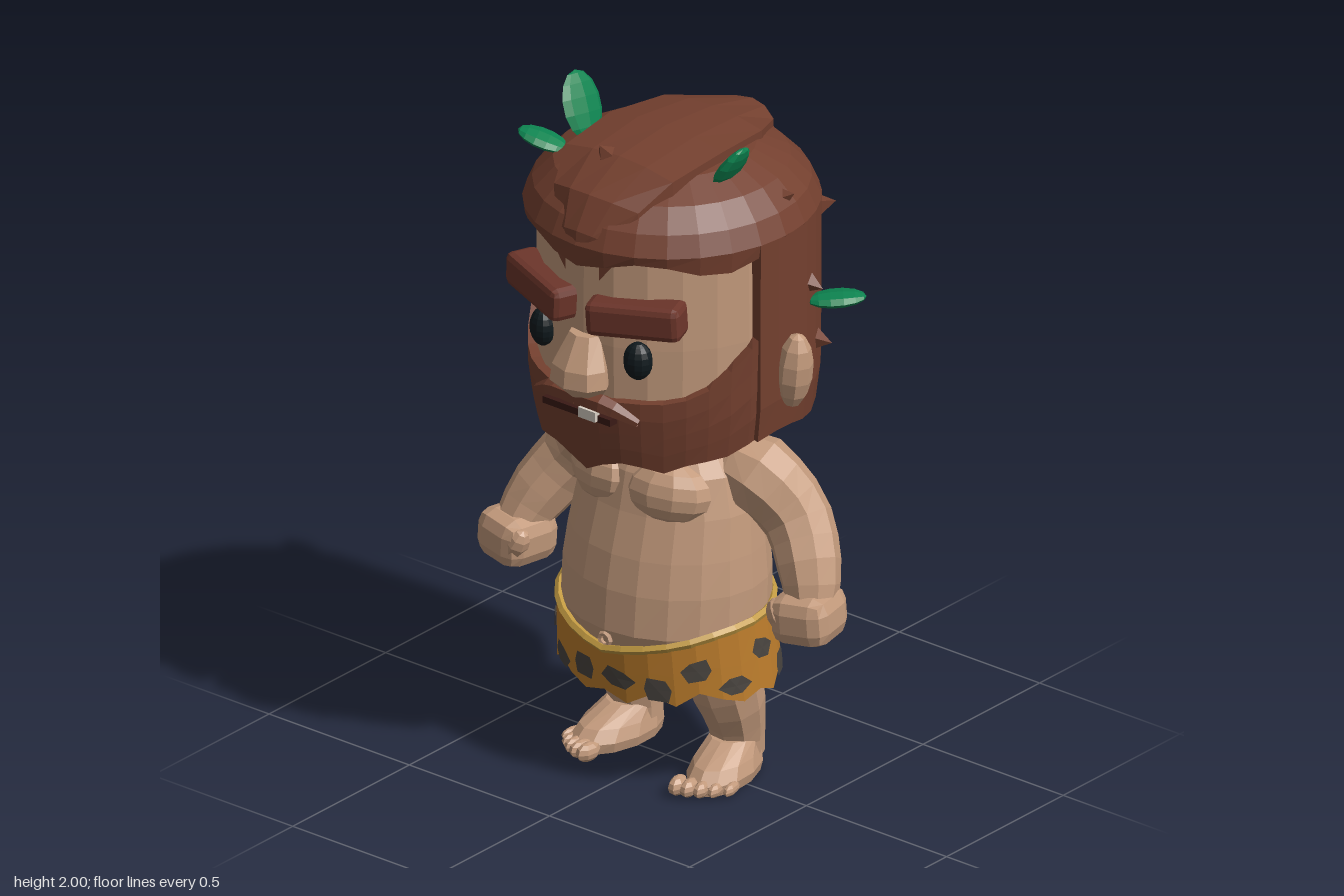
import * as THREE from 'three';
import { RoundedBoxGeometry } from 'three/addons/geometries/RoundedBoxGeometry.js';

const mat = (color) => new THREE.MeshStandardMaterial({ color, flatShading: true, side: THREE.DoubleSide });
const SKIN = mat(0xc39a7c), HAIR = mat(0x74402f), BROW = mat(0x6c352a), HIDE = mat(0xbd7d2c), RIM = mat(0xc29a42);
const SPOT = mat(0x4a4540), LEAF = mat(0x0d8450), EYE = mat(0x10191d), TOOTH = mat(0xd8d0c4), MOUTH = mat(0x3a1a15);

function add(parent, name, geo, material, pos = [0, 0, 0], rot = [0, 0, 0], scale = [1, 1, 1]) {
  const m = new THREE.Mesh(geo, material);
  m.name = name;
  m.position.set(...pos);
  m.rotation.set(...rot);
  m.scale.set(...scale);
  parent.add(m);
  return m;
}

// Piecewise linear lookup in [[x, y], ...]
function lookup(t, table) {
  for (let i = 1; i < table.length; i++) {
    const [x0, y0] = table[i - 1], [x1, y1] = table[i];
    if (t <= x1) return y0 + (y1 - y0) * Math.max(0, (t - x0) / (x1 - x0));
  }
  return table[table.length - 1][1];
}

// Surface through points f(i, j); i runs counter-clockwise from the front, j upward
function grid(nu, nv, f) {
  const pos = [], idx = [], w = nu + 1;
  for (let j = 0; j <= nv; j++) for (let i = 0; i <= nu; i++) pos.push(...f(i, j));
  for (let j = 0; j < nv; j++) for (let i = 0; i < nu; i++) {
    const a = j * w + i;
    idx.push(a, a + 1, a + w + 1, a, a + w + 1, a + w);
  }
  const g = new THREE.BufferGeometry();
  g.setAttribute('position', new THREE.Float32BufferAttribute(pos, 3));
  g.setIndex(idx);
  g.computeVertexNormals();
  return g;
}

// Closed body from rings [y, halfWidth, zFront, zBack]
function loft(rings, n) {
  const end = (r) => [r[0], 0, (r[2] + r[3]) / 2, (r[2] + r[3]) / 2];
  const all = [end(rings[0]), ...rings, end(rings[rings.length - 1])];
  return grid(n, all.length - 1, (i, j) => {
    const a = i / n * Math.PI * 2, [y, rx, zf, zb] = all[j];
    return [rx * Math.sin(a), y, (zf + zb) / 2 + (zf - zb) / 2 * Math.cos(a)];
  });
}

// Tube with a varying radius through the points
function limb(points, radii, segs = 9, sides = 9) {
  const curve = new THREE.CatmullRomCurve3(points.map((p) => new THREE.Vector3(...p)));
  const g = new THREE.TubeGeometry(curve, segs, 1, sides), p = g.attributes.position, v = new THREE.Vector3();
  const table = radii.map((r, i) => [i / (radii.length - 1), r]);
  for (let k = 0; k < p.count; k++) {
    const u = Math.floor(k / (sides + 1)) / segs, c = curve.getPointAt(u);
    v.fromBufferAttribute(p, k).sub(c).multiplyScalar(lookup(curve.getUtoTmapping(u), table)).add(c);
    p.setXYZ(k, v.x, v.y, v.z);
  }
  g.computeVertexNormals();
  return g;
}

// Point on the head outline at angle a (0 = front)
const headPoint = (a, y, r) => [0.405 * r * Math.sin(a), y, -0.025 + 0.415 * r * Math.cos(a)];
const headRing = ([y, r]) => [y, 0.405 * r, -0.025 + 0.415 * r, -0.025 - 0.415 * r];

// Thick curved sheet around the head between two angles
function headSheet(a0, a1, n, rows, bottom, top, radius, inner) {
  return grid(n + 2, rows + 2, (i, j) => {
    const a = a0 + (a1 - a0) * THREE.MathUtils.clamp((i - 1) / n, 0, 1);
    const t = THREE.MathUtils.clamp((j - 1) / rows, 0, 1), y = bottom(a) + (top(a) - bottom(a)) * t;
    const edge = i === 0 || i === n + 2 || j === 0 || j === rows + 2;
    return headPoint(a, y, edge ? inner : radius(y));
  });
}

function buildHead(root) {
  const head = new THREE.Group();
  head.name = 'head';
  root.add(head);
  add(head, 'skull', loft([[1.04, 0.5], [1.1, 0.84], [1.2, 0.9], [1.4, 0.915], [1.66, 0.91], [1.75, 0.8]].map(headRing), 24), SKIN);

  // Hair: crown, back curtain and raised middle band
  const crown = [[1.67, 0.87], [1.655, 0.985], [1.7, 1.005], [1.76, 0.94], [1.82, 0.8], [1.865, 0.57], [1.885, 0.28], [1.89, 0]];
  add(head, 'hairCrown', grid(28, crown.length - 1, (i, j) => {
    const a = i / 28 * Math.PI * 2, fringe = j < 2 ? -0.02 * Math.cos(a * 6) : 0;
    return headPoint(a, crown[j][0] + fringe, crown[j][1]);
  }), HAIR);
  add(head, 'hairBack', headSheet(1.34, Math.PI * 2 - 1.34, 22, 6, (a) => 1.1 + 0.012 * Math.cos(a * 8), () => 1.7,
    (y) => lookup(y, [[1.1, 0.97], [1.18, 1], [1.7, 1.005]]), 0.85), HAIR);
  const band = [[0.39, 1.69, 0.06], [0.385, 1.74, 0.1], [0.33, 1.83, 0.15], [0.2, 1.9, 0.19], [0, 1.92, 0.2], [-0.2, 1.905, 0.175], [-0.37, 1.865, 0.1], [-0.375, 1.76, 0.1]];
  add(head, 'hairBand', grid(6, band.length - 1, (i, j) => {
    const [z, y, w] = band[j], s = [-1, -1, -0.5, 0, 0.5, 1, 1][i], skirt = i === 0 || i === 6;
    return [s * w, y - 0.022 * s * s - (skirt ? 0.07 : 0), z - (j < 3 ? 0.03 * s * s : 0) + (j > 5 ? 0.03 * s * s : 0)];
  }), HAIR);

  // Stray tufts: [angle, height, radius factor, upward tilt]
  for (const [a, y, r, up] of [[-2, 1.53, 0.98, 0], [-2.3, 1.36, 0.98, -0.2], [2.3, 1.66, 0.98, 0.2], [2.05, 1.3, 0.98, -0.2],
    [-1.75, 1.78, 0.84, 0.5], [1.75, 1.77, 0.84, 0.5], [1.9, 1.5, 0.97, -0.3], [-1.75, 1.42, 0.97, -0.3], [-0.2, 1.885, 0.55, 1.5]]) {
    const tuft = add(head, 'hairTuft', new THREE.ConeGeometry(0.065, 0.1, 4), HAIR, headPoint(a, y, r));
    tuft.quaternion.setFromUnitVectors(new THREE.Vector3(0, 1, 0), new THREE.Vector3(Math.sin(a), up, Math.cos(a)).normalize());
  }

  // Beard, moustache and mouth
  const beardTop = [[0, 1.23], [0.33, 1.245], [0.74, 1.25], [1, 1.29], [1.25, 1.37], [1.45, 1.45]];
  const beardLow = [[0, 1], [0.24, 1.045], [0.4, 1.05], [0.64, 1.025], [0.85, 1.055], [1.1, 1.06], [1.45, 1.11]];
  add(head, 'beard', headSheet(-1.45, 1.45, 18, 4, (a) => lookup(Math.abs(a), beardLow), (a) => lookup(Math.abs(a), beardTop),
    (y) => lookup(y, [[1, 0.88], [1.1, 0.93], [1.2, 0.965], [1.3, 0.97], [1.45, 0.99]]), 0.8), HAIR);
  add(head, 'mouth', new THREE.BoxGeometry(0.24, 0.02, 0.03), MOUTH, [0, 1.19, 0.37]);
  add(head, 'tooth', new THREE.BoxGeometry(0.06, 0.03, 0.02), TOOTH, [0.045, 1.198, 0.386]);

  // Face
  add(head, 'nose', loft([[1.24, 0.06, 0.4, 0.3], [1.28, 0.095, 0.44, 0.3], [1.33, 0.088, 0.435, 0.3], [1.42, 0.05, 0.385, 0.3]], 8), SKIN);
  for (const s of [1, -1]) {
    add(head, 'moustache', limb([[0, 1.232, 0.375], [s * 0.09, 1.228, 0.365], [s * 0.18, 1.19, 0.335]], [0.025, 0.03, 0.012], 5, 6), HAIR);
    add(head, 'eye', new THREE.SphereGeometry(1, 12, 10), EYE, [s * 0.17, 1.375, 0.325], [0, s * 0.4, 0], [0.042, 0.056, 0.035]);
    add(head, 'eyebrow', new RoundedBoxGeometry(0.275, 0.1, 0.1, 1, 0.02), BROW, [s * 0.165, 1.505, 0.325], [0, s * 0.36, s * 0.06]);
    add(head, 'ear', new THREE.SphereGeometry(1, 8, 7), SKIN, [s * 0.425, 1.29, -0.04], [0, 0, -s * 0.1], [0.052, 0.115, 0.052]);
  }

  // Leaves: base, tip, half width, direction of width
  for (const [base, tip, w, side] of [
    [[-0.23, 1.82, 0.05], [-0.31, 2, 0.02], 0.075, [0, 0, 1]],
    [[-0.24, 1.82, 0.13], [-0.37, 1.865, 0.19], 0.05, [0.4, 0, 1]],
    [[0.21, 1.81, 0.03], [0.3, 1.95, 0.03], 0.06, [0, 0, 1]],
    [[0.37, 1.44, -0.16], [0.49, 1.45, -0.27], 0.05, [1, 0, 1]],
    [[-0.23, 1.49, -0.34], [-0.39, 1.51, -0.41], 0.05, [-0.4, 0, 1]]]) {
    const b = new THREE.Vector3(...base), t = new THREE.Vector3(...tip), dir = t.clone().sub(b), len = dir.length();
    dir.normalize();
    const thin = new THREE.Vector3(...side).cross(dir).normalize(), wide = dir.clone().cross(thin);
    const leaf = add(head, 'leaf', new THREE.SphereGeometry(1, 8, 7), LEAF, b.add(t).multiplyScalar(0.5).toArray(), [0, 0, 0], [w, len / 2, 0.02]);
    leaf.quaternion.setFromRotationMatrix(new THREE.Matrix4().makeBasis(wide, dir, thin));
  }
}

function buildBody(root) {
  add(root, 'torso', loft([[0.36, 0.27, 0.22, -0.24], [0.48, 0.305, 0.265, -0.27], [0.6, 0.305, 0.255, -0.268], [0.7, 0.295, 0.235, -0.26],
    [0.82, 0.28, 0.2, -0.25], [0.93, 0.25, 0.175, -0.235], [1, 0.2, 0.14, -0.2], [1.07, 0.15, 0.09, -0.17]], 20), SKIN);
  add(root, 'navel', new THREE.TorusGeometry(0.018, 0.008, 5, 8), SKIN, [0, 0.45, 0.262]);
  for (const s of [1, -1]) {
    const side = s > 0 ? 'left' : 'right', forward = s > 0 ? 0 : 0.115;
    add(root, side + 'Pec', new THREE.SphereGeometry(1, 10, 8), SKIN, [s * 0.115, 0.885, 0.125], [-0.15, s * 0.3, 0], [0.125, 0.09, 0.075]);

    // Arm ending in a fist
    const arm = new THREE.Group();
    arm.name = side + 'Arm';
    root.add(arm);
    const path = [[0.14, 0.94, -0.05], [0.25, 0.91, -0.08], [0.36, 0.8, -0.12], [0.445, 0.67, -0.08], [0.475, 0.58, -0.05]];
    add(arm, 'armLimb', limb(path.map(([x, y, z], i) => [s * x, y, z + forward * i / 4]), [0.08, 0.115, 0.1, 0.09, 0.07]), SKIN);
    add(arm, 'fist', new RoundedBoxGeometry(0.175, 0.145, 0.185, 1, 0.045), SKIN, [s * 0.472, 0.558, -0.045 + forward], [0, s * 0.2, s * 0.08]);
    add(arm, 'thumb', new THREE.SphereGeometry(1, 7, 6), SKIN, [s * 0.42, 0.565, 0.02 + forward], [0, 0, s * 0.5], [0.035, 0.05, 0.035]);

    // Leg, foot and toes
    const leg = new THREE.Group();
    leg.name = side + 'Leg';
    leg.position.set(s > 0 ? 0.2 : -0.175, 0, -0.03);
    leg.rotation.y = s > 0 ? 0.22 : -0.13;
    root.add(leg);
    add(leg, 'legLimb', limb([[-s * 0.02, 0.42, 0.01], [-s * 0.015, 0.3, 0.005], [0, 0.2, -0.02], [0, 0.12, -0.045], [0, 0.04, -0.05]], [0.125, 0.11, 0.092, 0.078, 0.075], 7), SKIN);
    add(leg, 'foot', loft([[0, 0.082, 0.18, -0.125], [0.03, 0.09, 0.185, -0.13], [0.065, 0.08, 0.15, -0.128], [0.11, 0.065, 0.05, -0.12]], 12), SKIN);
    for (let i = 0; i < 5; i++) {
      const r = 0.028 - 0.0025 * i;
      add(leg, 'toe', new THREE.SphereGeometry(1, 7, 6), SKIN, [s * (-0.06 + 0.033 * i), r, 0.19 - 0.004 * i * i], [0, 0, 0], [r * 0.85, r, 0.042]);
    }
  }
}

// Point on the loincloth at angle a and height y
function hidePoint(a, y, r = 1) {
  const t = (0.5 - y) / 0.2, zf = 0.28 - 0.015 * t, zb = -0.28 - 0.01 * t;
  return [(0.315 + 0.012 * t) * r * Math.sin(a), y, (zf + zb) / 2 + (zf - zb) / 2 * r * Math.cos(a)];
}

function buildLoincloth(root) {
  const cloth = new THREE.Group(), n = 28;
  cloth.name = 'loincloth';
  root.add(cloth);
  const top = (a) => lookup(Math.PI - Math.abs(a - Math.PI), [[0, 0.525], [Math.PI, 0.42]].map(([x]) => [x, 0]).length ? [[0, 0.425], [0.5, 0.455], [1.2, 0.5], [Math.PI, 0.525]] : []);
  const jag = [0.3, 0.275, 0.315, 0.285, 0.325, 0.3, 0.28];
  const low = (i) => (i === 14 || i === 15 ? 0.235 : jag[i % 7]);
  add(cloth, 'hide', grid(n, 4, (i, j) => {
    const a = i / n * Math.PI * 2, b = low(i % n), t = THREE.MathUtils.clamp((j - 1) / 2, 0, 1);
    return hidePoint(a, b + (top(a) - b) * t, j === 0 || j === 4 ? 0.93 : 1);
  }), HIDE);
  const rim = [];
  for (let i = 0; i < n; i++) rim.push(new THREE.Vector3(...hidePoint(i / n * Math.PI * 2, top(i / n * Math.PI * 2), 0.98)));
  add(cloth, 'waistRim', new THREE.TubeGeometry(new THREE.CatmullRomCurve3(rim, true), 28, 0.013, 5, true), RIM);

  // Irregular spots wrapped onto the hide
  for (let k = 0; k < 17; k++) {
    const a = k / 17 * Math.PI * 2 + 0.15, y = k % 2 ? 0.335 : top(a) - 0.085, g = new THREE.CircleGeometry(1, 6), p = g.attributes.position;
    for (let v = 0; v < p.count; v++) {
      const r = 0.04 + 0.009 * Math.sin((v % 6) * 2.3 + k * 1.7);
      p.setXYZ(v, ...hidePoint(a + p.getX(v) * r * 1.15 / 0.3, y + p.getY(v) * r * 0.85, 1.018));
    }
    g.computeVertexNormals();
    add(cloth, 'spot', g, SPOT);
  }
}

export function createModel() {
  const root = new THREE.Group();
  root.name = 'caveman';
  buildBody(root);
  buildLoincloth(root);
  buildHead(root);
  return root;
}
